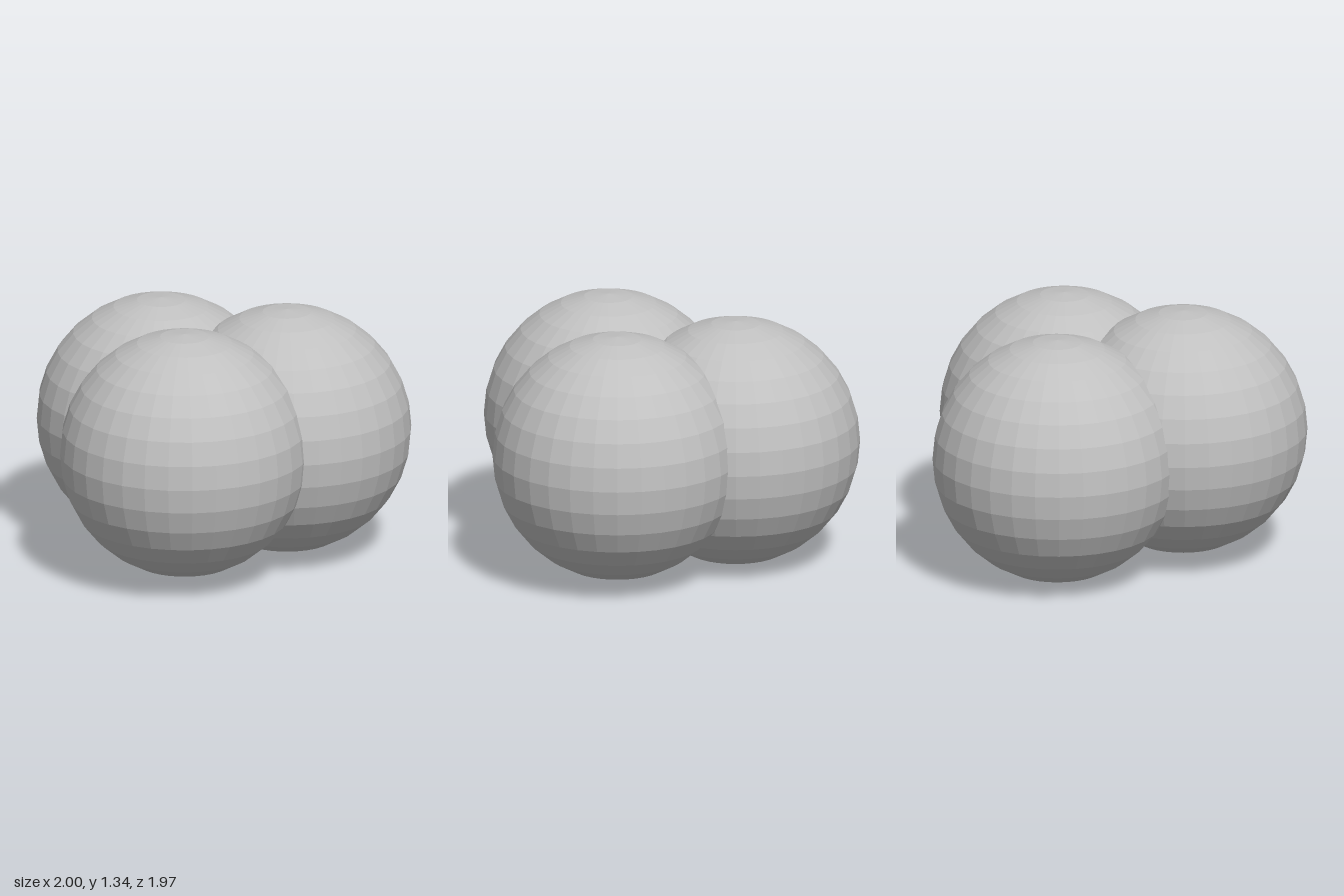
import * as THREE from 'three';

export function createModel() {
  const model = new THREE.Group();
  model.name = 'sphereCluster';

  const grey = new THREE.MeshStandardMaterial({ color: 0xc0c0c0, flatShading: true });
  grey.name = 'light grey';

  // One faceted ball shared by the three overlapping spheres
  const ball = new THREE.SphereGeometry(0.648, 32, 16);
  const spheres = [
    ['frontRightSphere', -0.35, 0.69, 0.24],
    ['frontLeftSphere', 0.35, 0.675, 0.335],
    ['backSphere', 0.125, 0.65, -0.338],
  ];
  for (const [name, x, y, z] of spheres) {
    const mesh = new THREE.Mesh(ball, grey);
    mesh.name = name;
    mesh.position.set(x, y, z);
    model.add(mesh);
  }
  return model;
}
